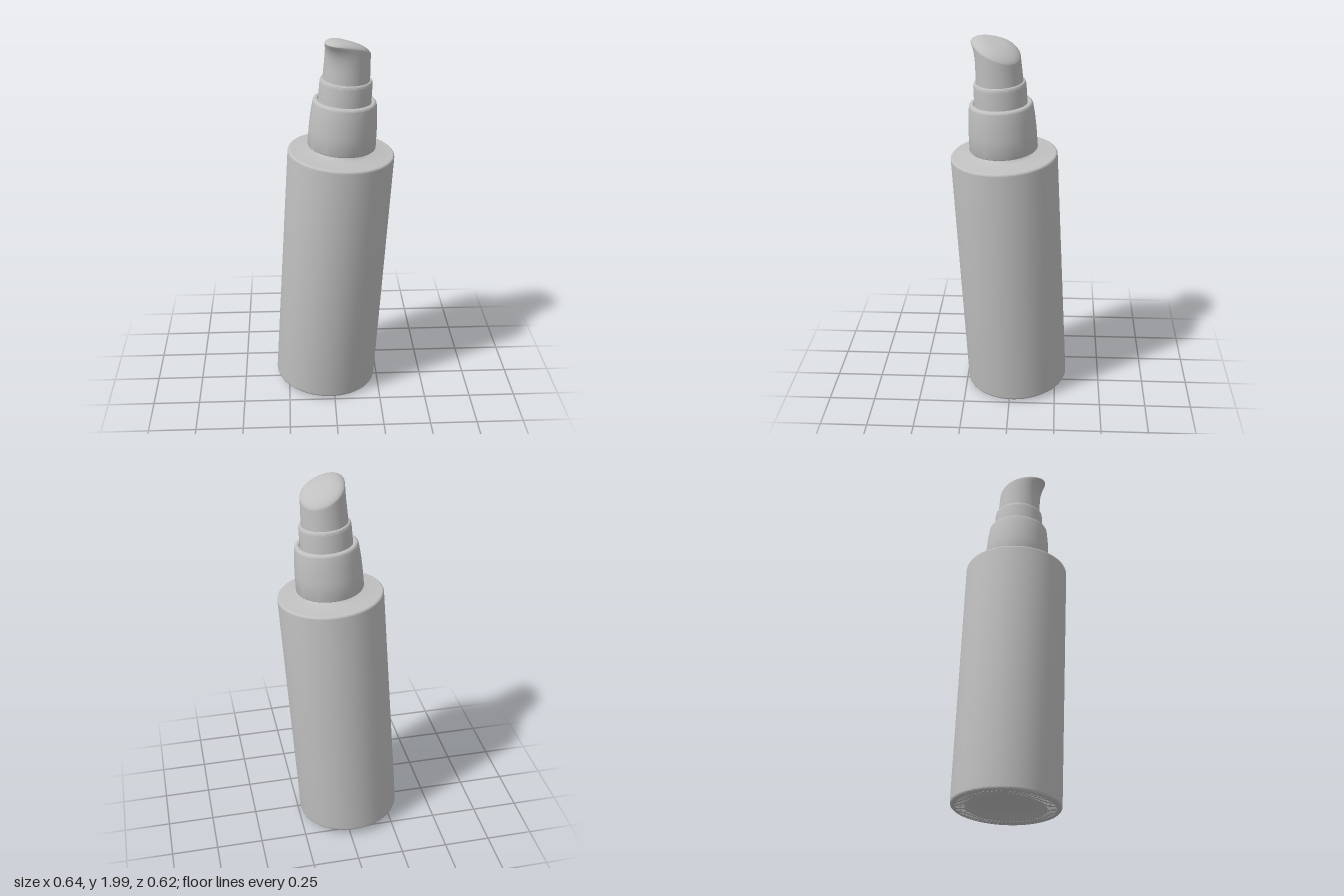
import * as THREE from 'three';
import { toCreasedNormals } from 'three/addons/utils/BufferGeometryUtils.js';

const grey = new THREE.MeshStandardMaterial({ color: 0xc0c0c0 });
grey.name = 'satin grey';

// Lathe from [radius, height, fillet] corners, listed bottom to top on the outside
function turned(name, corners) {
  const v = corners.map(([r, h]) => new THREE.Vector2(r, h));
  const pts = [];
  corners.forEach(([, , fillet], i) => {
    if (!fillet) return pts.push(v[i]);
    const toward = (j) => v[j].clone().sub(v[i]).setLength(fillet).add(v[i]);
    pts.push(...new THREE.QuadraticBezierCurve(toward(i - 1), v[i], toward(i + 1)).getPoints(5));
  });
  const mesh = new THREE.Mesh(toCreasedNormals(new THREE.LatheGeometry(pts, 80), 0.6), grey);
  mesh.name = name;
  return mesh;
}

// Pump head: round below, drawn out into a spout towards +z, with a slanted domed top
function pumpHead() {
  const N = 72, SIDE = 16, CAP = 14, base = 1.74;
  const pos = [], index = [];
  const edge = (u) => 1.922 + 0.37 * u - 0.9 * u * u;
  for (let j = 0; j <= SIDE + CAP; j++) {
    const t = Math.min(1, j / SIDE);
    const c = Math.max(0, (j - SIDE) / CAP);
    const k = Math.cos(c * Math.PI / 2);
    for (let i = 0; i < N; i++) {
      const a = i / N * Math.PI * 2;
      const r = 0.121 - 0.008 * t;
      const reach = 0.045 * t ** 5 * Math.max(0, Math.cos(a)) ** 3;
      const x = r * Math.sin(a) * k;
      const z = (r * Math.cos(a) + reach) * k;
      const dome = 0.034 * Math.max(0, 1 - k ** 3) ** 0.6;
      pos.push(x, base + (edge(z) - base) * t + dome, z);
      if (j === SIDE + CAP) continue;
      const p = j * N + i, q = j * N + (i + 1) % N;
      index.push(p, q, p + N, q, q + N, p + N);
    }
  }
  const geo = new THREE.BufferGeometry();
  geo.setAttribute('position', new THREE.Float32BufferAttribute(pos, 3));
  geo.setIndex(index);
  geo.computeVertexNormals();
  const mesh = new THREE.Mesh(geo, grey);
  mesh.name = 'pumpHead';
  mesh.rotation.y = -0.67;
  return mesh;
}

// Ring of short radial ribs under the base
function baseRibs() {
  const ribs = new THREE.Group();
  ribs.name = 'baseRibs';
  const geo = new THREE.BoxGeometry(0.007, 0.006, 0.045);
  for (let i = 0; i < 72; i++) {
    const a = i / 72 * Math.PI * 2;
    const rib = new THREE.Mesh(geo, grey);
    rib.name = 'baseRib';
    rib.position.set(Math.sin(a) * 0.228, 0.001, Math.cos(a) * 0.228);
    rib.rotation.y = a;
    ribs.add(rib);
  }
  return ribs;
}

export function createModel() {
  const model = new THREE.Group();
  model.name = 'pumpBottle';

  const bottle = new THREE.Group();
  bottle.name = 'leaningBottle';
  bottle.add(
    // Body with a recessed base, flat shoulder and short neck
    turned('body', [
      [0, 0.035], [0.1, 0.031], [0.17, 0.02], [0.2, 0, 0.008], [0.278, 0, 0.015],
      [0.278, 1.37, 0.013], [0.155, 1.37], [0.135, 1.377], [0.125, 1.39], [0.122, 1.43],
    ]),
    baseRibs(),
    // Collar that screws on to the neck
    turned('collar', [
      [0.11, 1.4], [0.177, 1.4, 0.008], [0.175, 1.5], [0.171, 1.57], [0.162, 1.652, 0.016],
      [0.14, 1.652, 0.004], [0.137, 1.643], [0.1, 1.643],
    ]),
    // Actuator sleeve below the head
    turned('sleeve', [
      [0.136, 1.63], [0.134, 1.74], [0.131, 1.76, 0.008], [0.123, 1.762, 0.003], [0.1, 1.755],
    ]),
    pumpHead(),
  );

  // The whole bottle leans slightly
  bottle.quaternion.setFromUnitVectors(
    new THREE.Vector3(0, 1, 0), new THREE.Vector3(0.0605, 1, 0.051).normalize());
  bottle.position.set(-0.042, 0.023, -0.035);
  model.add(bottle);
  return model;
}
